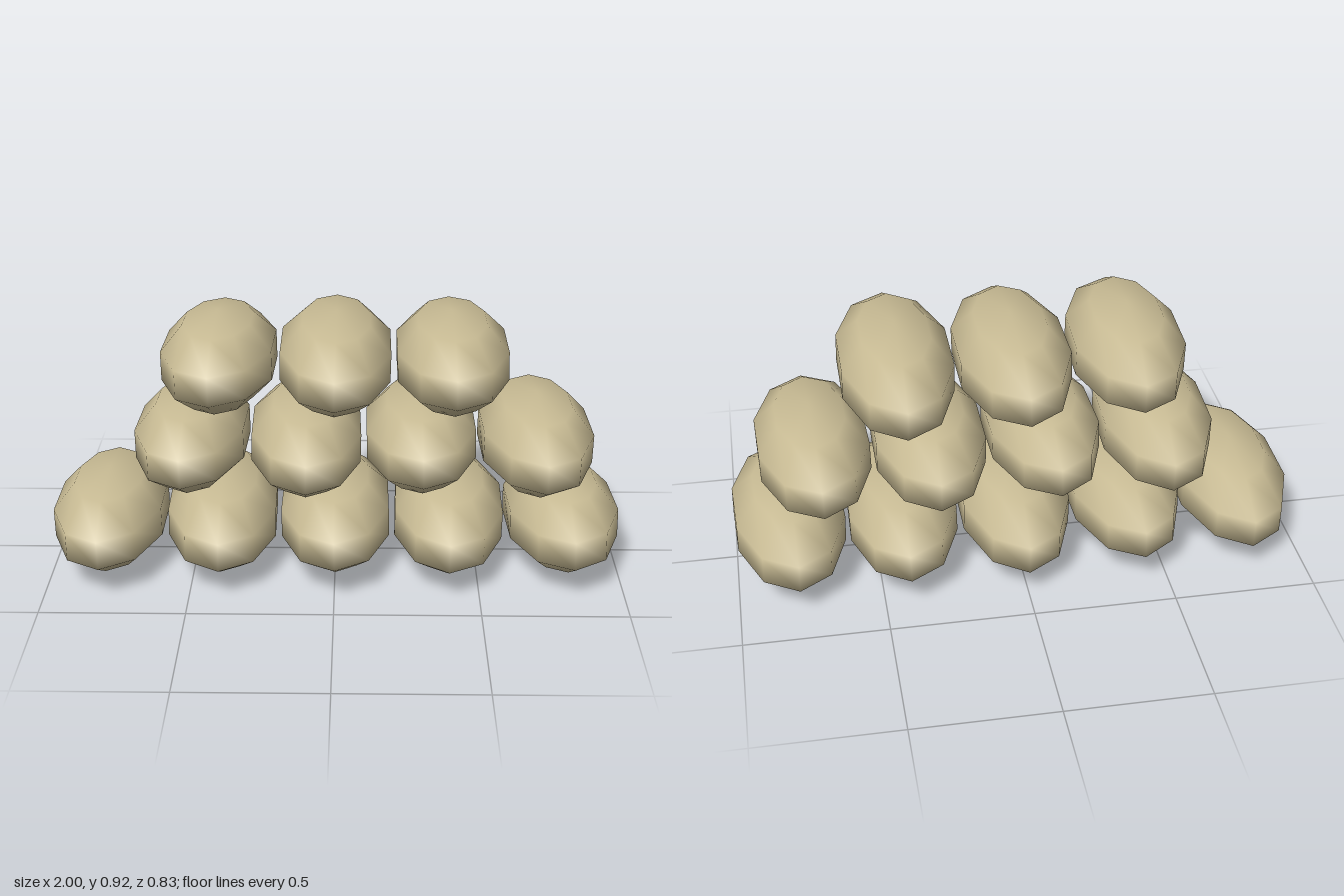
import * as THREE from 'three';

export function createModel() {
  const wall = new THREE.Group();
  wall.name = 'sandbagWall';
  const canvas = new THREE.MeshStandardMaterial({ color: 0xc8bb94 });
  canvas.name = 'sand canvas';

  // Low-poly ellipsoid bag, long axis turned to run front to back
  const bagShape = new THREE.SphereGeometry(1, 10, 5);
  bagShape.rotateY(Math.PI / 2);
  bagShape.scale(0.21, 0.163, 0.43);

  // Each bag: x, z offset, length factor, yaw
  const rows = [
    { name: 'bottomBag', y: 0.17, bags: [
      [-0.805, 0.01, 0.98, 0], [-0.403, 0, 0.98, 0.02], [0, 0, 1, 0],
      [0.403, 0, 0.98, -0.02], [0.805, 0.005, 0.945, 0.04]] },
    { name: 'middleBag', y: 0.462, bags: [
      [-0.506, -0.015, 0.98, -0.03], [-0.103, 0.005, 0.98, 0.02],
      [0.3, -0.015, 0.945, 0], [0.703, 0, 0.96, 0.03]] },
    { name: 'topBag', y: 0.76, bags: [
      [-0.403, 0.008, 0.935, -0.03], [0, 0, 1, 0], [0.403, 0, 1, 0]] },
  ];

  for (const row of rows) {
    row.bags.forEach(([x, z, length, yaw], i) => {
      const bag = new THREE.Mesh(bagShape, canvas);
      bag.name = row.name + (i + 1);
      bag.position.set(x, row.y, z);
      bag.scale.z = length;
      // Slight settling of each bag
      bag.rotation.set(i % 2 ? 0.012 : -0.012, yaw, i % 2 ? -0.02 : 0.02);
      wall.add(bag);
    });
  }
  return wall;
}
